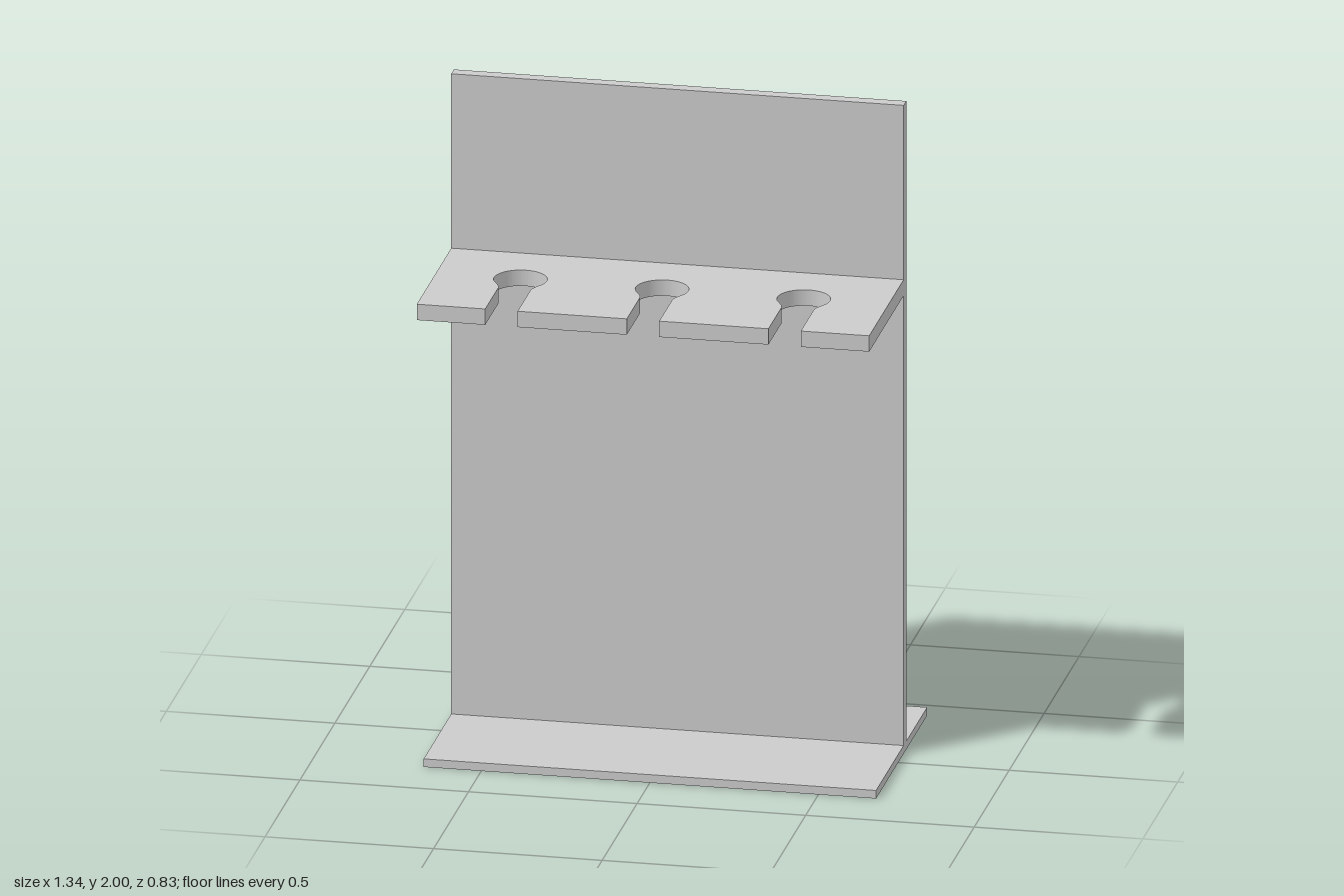
import * as THREE from 'three';

const WIDTH = 1.342;
const material = new THREE.MeshStandardMaterial({ color: 0xcccccc, flatShading: true });

// Full-width board spanning y0..y1 and z0..z1
function board(name, y0, y1, z0, z1) {
  const mesh = new THREE.Mesh(new THREE.BoxGeometry(WIDTH, y1 - y0, z1 - z0), material);
  mesh.position.set(0, (y0 + y1) / 2, (z0 + z1) / 2);
  mesh.name = name;
  return mesh;
}

// Shelf outline (shape y is -z) with keyhole slots open to the front edge
function shelfShape() {
  const half = WIDTH / 2, front = -0.415, back = 0.078;
  const slotHalf = 0.048, holeY = -0.142, radius = 0.078;
  const neck = Math.atan2(0.041, 0.066);
  const nx = radius * Math.cos(neck), ny = holeY - radius * Math.sin(neck);
  const shape = new THREE.Shape();
  shape.moveTo(-half, front);
  for (const c of [-0.42, 0, 0.42]) {
    shape.lineTo(c - slotHalf, front);
    shape.lineTo(c - slotHalf, -0.228);
    shape.quadraticCurveTo(c - slotHalf, -0.212, c - nx, ny);
    shape.absarc(c, holeY, radius, Math.PI + neck, -neck, true);
    shape.quadraticCurveTo(c + slotHalf, -0.212, c + slotHalf, -0.228);
    shape.lineTo(c + slotHalf, front);
  }
  shape.lineTo(half, front);
  shape.lineTo(half, back);
  shape.lineTo(-half, back);
  shape.closePath();
  return shape;
}

export function createModel() {
  const group = new THREE.Group();
  group.name = 'slottedRack';

  group.add(board('base', 0, 0.025, -0.415, 0.317));
  group.add(board('backPanel', 0.025, 2, -0.116, -0.078));

  // Slotted shelf; extrude normals keep its slot walls smooth enough
  const geometry = new THREE.ExtrudeGeometry(shelfShape(), {
    depth: 0.049, bevelEnabled: false, curveSegments: 24,
  });
  geometry.rotateX(-Math.PI / 2);
  const shelf = new THREE.Mesh(geometry, material);
  shelf.position.y = 1.413;
  shelf.name = 'slottedShelf';
  group.add(shelf);

  return group;
}
